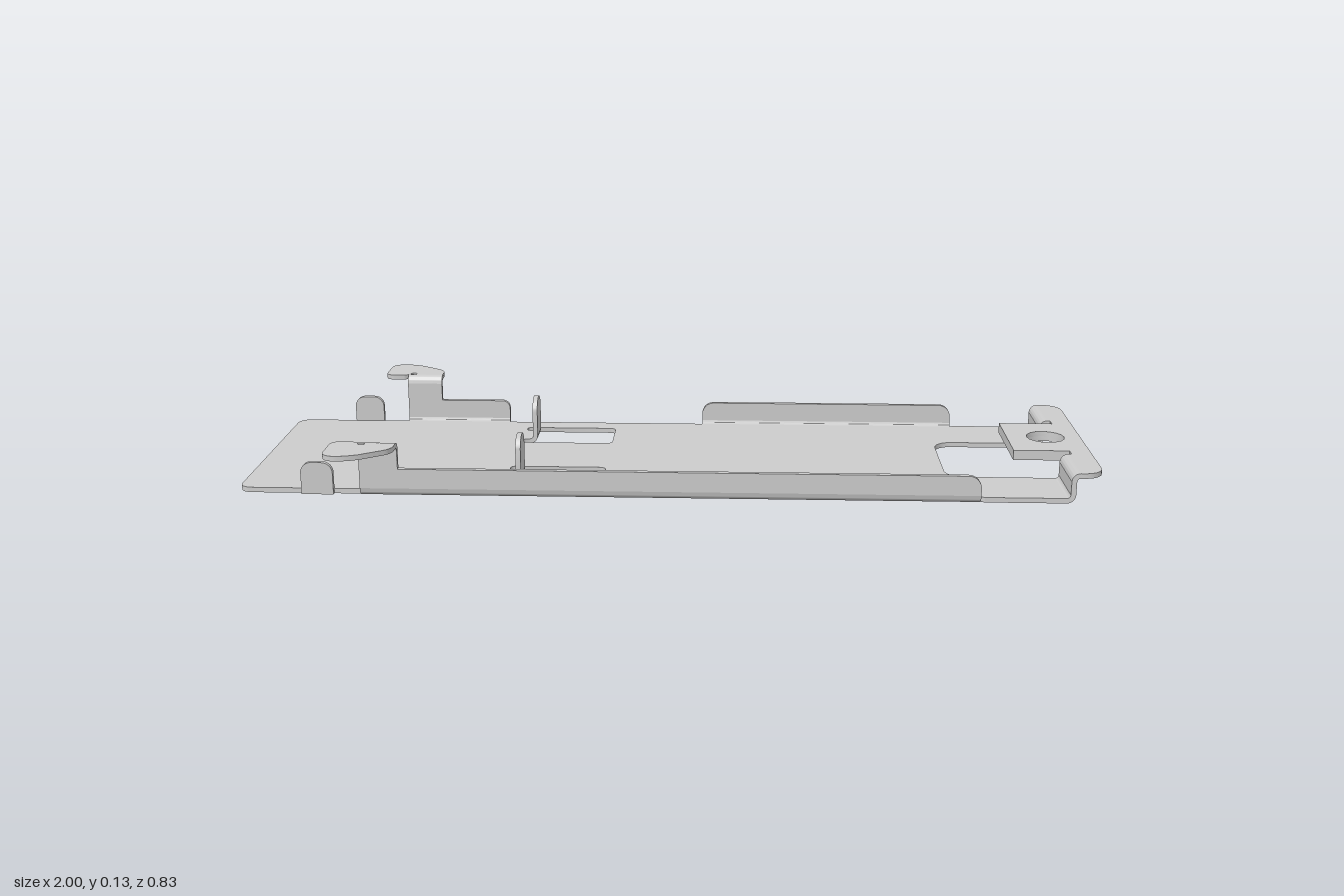
import * as THREE from 'three';
import { toCreasedNormals } from 'three/addons/utils/BufferGeometryUtils.js';
import { ConvexGeometry } from 'three/addons/geometries/ConvexGeometry.js';

const T = 0.012;  // sheet thickness
const R = 0.02;   // outer bend radius
const EDGE = 0.284; // half width of the flat sheet
const material = new THREE.MeshStandardMaterial({ color: 0xcccccc });

// Closed outline from [x, y, cornerRadius] points
function outline(points, Type = THREE.Shape) {
  const path = new Type();
  const n = points.length;
  points.forEach(([x, y, r = 0], i) => {
    const p = new THREE.Vector2(x, y);
    const toward = (q) => new THREE.Vector2(q[0], q[1]).sub(p).setLength(r).add(p);
    const a = r ? toward(points[(i + n - 1) % n]) : p;
    if (i === 0) path.moveTo(a.x, a.y);
    else path.lineTo(a.x, a.y);
    if (r) {
      const b = toward(points[(i + 1) % n]);
      // Cubic handles that approximate a circular fillet
      const c = a.clone().lerp(p, 0.55), d = b.clone().lerp(p, 0.55);
      path.bezierCurveTo(c.x, c.y, d.x, d.y, b.x, b.y);
    }
  });
  path.closePath();
  return path;
}

// Quarter-turn bend section, starting at the given number of quarter turns
function bend(cx, cy, quarter) {
  const a = quarter * Math.PI / 2, b = a + Math.PI / 2;
  const s = new THREE.Shape();
  s.absarc(cx, cy, R, a, b, false);
  s.absarc(cx, cy, R - T, b, a, true);
  s.closePath();
  return s;
}

export function createModel() {
  const model = new THREE.Group();
  model.name = 'sheetMetalBracket';

  function add(name, geometry) {
    const mesh = new THREE.Mesh(toCreasedNormals(geometry, 0.5), material);
    mesh.name = name;
    model.add(mesh);
  }
  const extrude = (shape, depth) =>
    new THREE.ExtrudeGeometry(shape, { depth, bevelEnabled: false, curveSegments: 8 });

  // Horizontal sheet: outline in (x, z), from y to y + t
  const flat = (name, shape, y, t = T) =>
    add(name, extrude(shape, t).rotateX(Math.PI / 2).translate(0, y + t, 0));
  // Section in (x, y), extruded from z0 to z1
  const alongZ = (name, shape, z0, z1) =>
    add(name, extrude(shape, z1 - z0).translate(0, 0, z0));
  // Section in (-z, y), extruded from x0 to x1
  const alongX = (name, shape, x0, x1) =>
    add(name, extrude(shape, x1 - x0).rotateY(Math.PI / 2).translate(x0, 0, 0));

  // Base plate with an open end slot and two windows
  const plate = outline([
    [-1, -EDGE, 0.03], [0.72, -EDGE], [0.73, -0.29], [0.917, -0.29],
    [0.917, -0.14], [0.66, -0.14, 0.045], [0.66, 0.14, 0.045], [0.917, 0.14],
    [0.917, 0.29], [0.73, 0.29], [0.72, EDGE], [-1, EDGE, 0.03],
  ]);
  for (const s of [1, -1]) {
    plate.holes.push(outline([
      [-0.155, s * 0.1, 0.015], [-0.155, s * 0.232, 0.015],
      [-0.385, s * 0.232, 0.01], [-0.385, s * 0.207, 0.01],
      [-0.368, s * 0.205], [-0.368, s * 0.13],
      [-0.385, s * 0.128, 0.01], [-0.385, s * 0.1, 0.01],
    ], THREE.Path));
  }
  flat('basePlate', plate, 0);

  // Side flanges: one long run in front, two short runs at the back
  function flange(name, s, x0, x1, withRiser, roundEnd) {
    const top = 0.067;
    const start = withRiser
      ? [[-0.62, top], [-0.62, 0.112], [x0, 0.112]]
      : [[x0, top, 0.03]];
    const wall = outline([[x0, R], [x1, R], [x1, top, roundEnd], ...start]);
    const z = s > 0 ? 0.292 : -0.304;
    alongZ(name, wall, z, z + T);
    alongX(name + 'Bend', bend(-s * EDGE, R, s > 0 ? 2 : 3), x0, x1);
  }
  flange('frontFlange', 1, -0.71, 0.72, true, 0.03);
  flange('backHookFlange', -1, -0.71, -0.44, true, 0.02);
  flange('backFlange', -1, 0.07, 0.72, false, 0.03);

  for (const s of [1, -1]) {
    const side = s > 0 ? 'front' : 'back';

    // Hook folded outward from the riser
    alongX(side + 'HookBend', bend(-s * 0.312, 0.112, s > 0 ? 0 : 1), -0.71, -0.62);
    flat(side + 'Hook', outline([
      [-0.62, s * 0.312], [-0.62, s * 0.355, 0.02], [-0.705, s * 0.416, 0.03],
      [-0.77, s * 0.416, 0.03], [-0.77, s * 0.302, 0.022], [-0.705, s * 0.302, 0.022],
      [-0.705, s * 0.326, 0.008], [-0.69, s * 0.326, 0.008], [-0.69, s * 0.312],
    ]), 0.12);

    // Stiffening gusset in the hook bend
    add(side + 'HookGusset', new ConvexGeometry([
      [-0.685, 0.121, 0.303], [-0.64, 0.121, 0.303],
      [-0.6625, 0.098, 0.303], [-0.6625, 0.121, 0.327],
    ].map(([x, y, z]) => new THREE.Vector3(x, y, s * z))));

    // Small side tab near the plain end
    const z = s > 0 ? 0.281 : -0.293;
    alongZ(side + 'SideTab', outline([
      [-0.85, 0], [-0.775, 0], [-0.775, 0.077, 0.025], [-0.85, 0.077, 0.025],
    ]), z, z + T);

    // Tab bent upright out of the window
    const z0 = s > 0 ? 0.13 : -0.205;
    alongZ(side + 'UprightTabBend', bend(-0.368, R, 3), z0, z0 + 0.075);
    alongX(side + 'UprightTab', outline([
      [-s * 0.13, R], [-s * 0.205, R], [-s * 0.205, 0.115, 0.034], [-s * 0.13, 0.115, 0.034],
    ]), -0.36, -0.348);

    // End wall with bends at its foot and head
    const w0 = s > 0 ? 0.14 : -0.29, w1 = w0 + 0.15;
    alongZ(side + 'EndWallFoot', bend(0.917, R, 3), w0, w1);
    alongZ(side + 'EndWall', outline([
      [0.925, R], [0.937, R], [0.937, 0.052], [0.925, 0.052],
    ]), w0, w1);
    alongZ(side + 'EndWallHead', bend(0.945, 0.052, 1), w0, w1);
  }

  // End lip, with the tongue carrying a thickened screw hole
  const lip = outline([
    [0.945, -0.29], [1, -0.29, 0.045], [1, 0.29, 0.045], [0.945, 0.29],
    [0.945, 0.14], [0.952, 0.138], [0.952, 0.115], [0.82, 0.115],
    [0.82, -0.115], [0.952, -0.115], [0.952, -0.138], [0.945, -0.14],
  ]);
  const pad = outline([[0.82, -0.115], [0.975, -0.115], [0.975, 0.115], [0.82, 0.115]]);
  for (const shape of [lip, pad]) {
    const hole = new THREE.Path();
    hole.absarc(0.915, 0, 0.046, 0, Math.PI * 2, true);
    shape.holes.push(hole);
  }
  flat('endLip', lip, 0.06);
  flat('tonguePad', pad, 0.048);

  return model;
}
